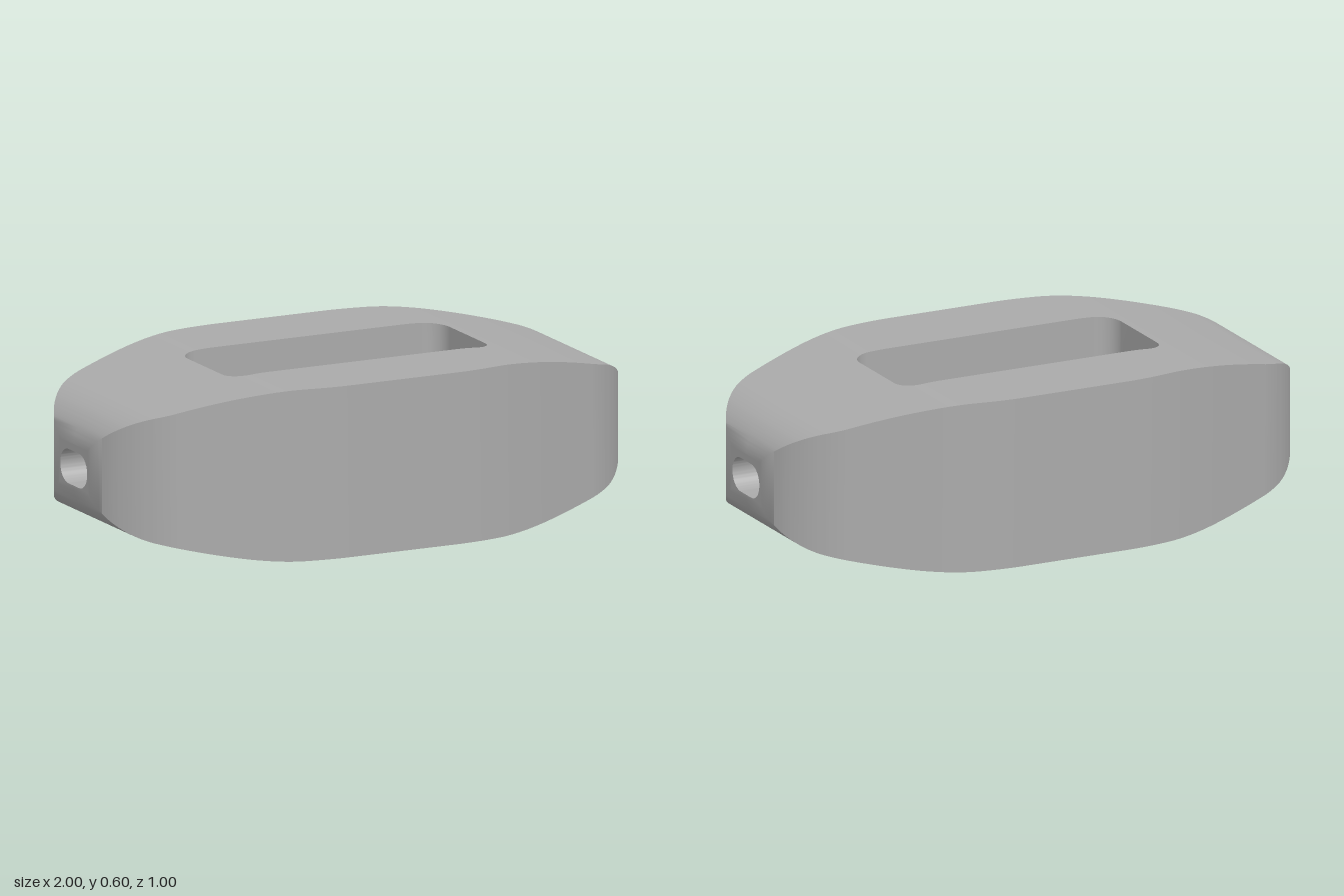
import * as THREE from 'three';
import { mergeGeometries, toCreasedNormals } from 'three/addons/utils/BufferGeometryUtils.js';

const FLOOR = 0.24, SLOT_Y = 0.29, SLOT_R = 0.06, SLOT_C = 0.04;
const PX = 0.5, PZ = 0.2, PR = 0.07; // pocket half length, half width, corner radius
const cut = Math.asin((SLOT_Y - FLOOR) / SLOT_R);
const channelZ = SLOT_C + SLOT_R * Math.cos(cut);

// Half outlines, from the middle to the end
const topPath = new THREE.Path().moveTo(0, 0.6).lineTo(0.36, 0.6)
  .quadraticCurveTo(0.55, 0.6, 0.86, 0.517)
  .bezierCurveTo(0.94, 0.495, 1, 0.44, 1, 0.375).getPoints(16);
const planPath = new THREE.Path().moveTo(0, 0.5).lineTo(0.2, 0.5)
  .quadraticCurveTo(0.36, 0.5, 0.6, 0.42).lineTo(0.8, 0.355)
  .bezierCurveTo(0.91, 0.31, 1, 0.2, 1, 0.105).getPoints(16);

// Height of an outline at x
function sample(path, x) {
  const ax = Math.abs(x);
  for (let i = 1; i < path.length; i++) {
    const a = path[i - 1], b = path[i];
    if (ax <= b.x && b.x > a.x) return a.y + (b.y - a.y) * (ax - a.x) / (b.x - a.x);
  }
  return path[path.length - 1].y;
}
const top = x => sample(topPath, x);
const bottom = x => 0.6 - top(x);
const width = x => sample(planPath, x);
const pocket = x => PZ - PR + Math.sqrt(Math.max(0, PR * PR - Math.max(0, Math.abs(x) - PX + PR) ** 2));

// Stations along x, shared by every skin
function stations() {
  const half = [...topPath, ...planPath].map(p => p.x);
  for (let i = 0; i <= 8; i++) half.push(PX - PR + PR * Math.sin(i / 8 * Math.PI / 2));
  const all = half.flatMap(x => [x, -x]).sort((a, b) => a - b);
  return all.filter((x, i) => i === 0 || x - all[i - 1] > 1e-5);
}

// Ruled surface between two rows of points
function strip(rowA, rowB, flip) {
  const pos = [];
  for (let i = 0; i < rowA.length - 1; i++) {
    const a = rowA[i], b = rowB[i], c = rowA[i + 1], d = rowB[i + 1];
    const tris = flip ? [a, c, b, b, c, d] : [a, b, c, b, d, c];
    tris.forEach(p => pos.push(...p));
  }
  const g = new THREE.BufferGeometry();
  g.setAttribute('position', new THREE.Float32BufferAttribute(pos, 3));
  return g;
}

// Flat plate in the z-y plane at x, facing along dir
function plate(shape, x, dir) {
  const g = new THREE.ShapeGeometry(shape, 16).toNonIndexed();
  g.deleteAttribute('uv');
  g.deleteAttribute('normal');
  return g.rotateY(dir * Math.PI / 2).translate(x, 0, 0);
}

const slotOutline = () => new THREE.Path()
  .absarc(SLOT_C, SLOT_Y, SLOT_R, -Math.PI / 2, Math.PI / 2, false)
  .absarc(-SLOT_C, SLOT_Y, SLOT_R, Math.PI / 2, Math.PI * 1.5, false)
  .lineTo(SLOT_C, SLOT_Y - SLOT_R);

// Surface swept along x from a z-y outline, facing inwards
const sweep = (pts, x0, x1) =>
  strip(pts.map(p => [x0, p.y, p.x]), pts.map(p => [x1, p.y, p.x]), true);

export function createModel() {
  const group = new THREE.Group();
  const grey = new THREE.MeshStandardMaterial({ color: 0xaaaaaa });
  grey.name = 'plain grey';
  const add = (name, parts) => {
    const mesh = new THREE.Mesh(toCreasedNormals(mergeGeometries(parts), 0.6), grey);
    mesh.name = name;
    group.add(mesh);
  };

  const xs = stations();
  const mid = xs.filter(x => Math.abs(x) <= PX + 1e-6);
  const ends = [xs.filter(x => x <= -PX + 1e-6), xs.filter(x => x >= PX - 1e-6)];
  const skin = [], recess = [], tunnel = [];

  for (const s of [1, -1]) {
    const row = (list, y, z) => list.map(x => [x, y(x), s * z(x)]);
    const zero = () => 0, floor = () => FLOOR;
    // Top around the pocket, underside and side
    skin.push(strip(row(mid, top, pocket), row(mid, top, width), s < 0));
    for (const e of ends) skin.push(strip(row(e, top, zero), row(e, top, width), s < 0));
    skin.push(strip(row(xs, bottom, zero), row(xs, bottom, width), s > 0));
    skin.push(strip(row(xs, bottom, width), row(xs, top, width), s > 0));
    // Pocket side wall and half of its floor
    recess.push(strip(row(mid, floor, pocket), row(mid, top, pocket), s < 0));
    recess.push(strip(row(mid, floor, () => channelZ), row(mid, floor, pocket), s < 0));

    // End face with the slot opening
    const w = width(1);
    const face = new THREE.Shape().moveTo(-w, bottom(1)).lineTo(w, bottom(1))
      .lineTo(w, top(1)).lineTo(-w, top(1)).closePath();
    face.holes.push(slotOutline());
    skin.push(plate(face, s, s));

    // Pocket end wall with the slot opening above the floor
    const e = PZ - PR;
    const wall = new THREE.Shape().moveTo(e, FLOOR).lineTo(e, top(PX))
      .lineTo(-e, top(PX)).lineTo(-e, FLOOR).lineTo(-channelZ, FLOOR)
      .absarc(-SLOT_C, SLOT_Y, SLOT_R, Math.PI + cut, Math.PI / 2, true)
      .absarc(SLOT_C, SLOT_Y, SLOT_R, Math.PI / 2, -cut, true);
    recess.push(plate(wall, s * PX, -s));

    // Slot from the pocket to the end
    tunnel.push(sweep(slotOutline().getPoints(16), s > 0 ? PX : -1, s > 0 ? 1 : -PX));
  }

  // Shallow channel in the pocket floor
  const channel = new THREE.Path()
    .absarc(-SLOT_C, SLOT_Y, SLOT_R, Math.PI + cut, Math.PI * 1.5, false)
    .absarc(SLOT_C, SLOT_Y, SLOT_R, Math.PI * 1.5, Math.PI * 2 - cut, false);
  tunnel.push(sweep(channel.getPoints(12), -PX, PX));

  add('body', skin);
  add('pocket', recess);
  add('throughSlot', tunnel);
  return group;
}
